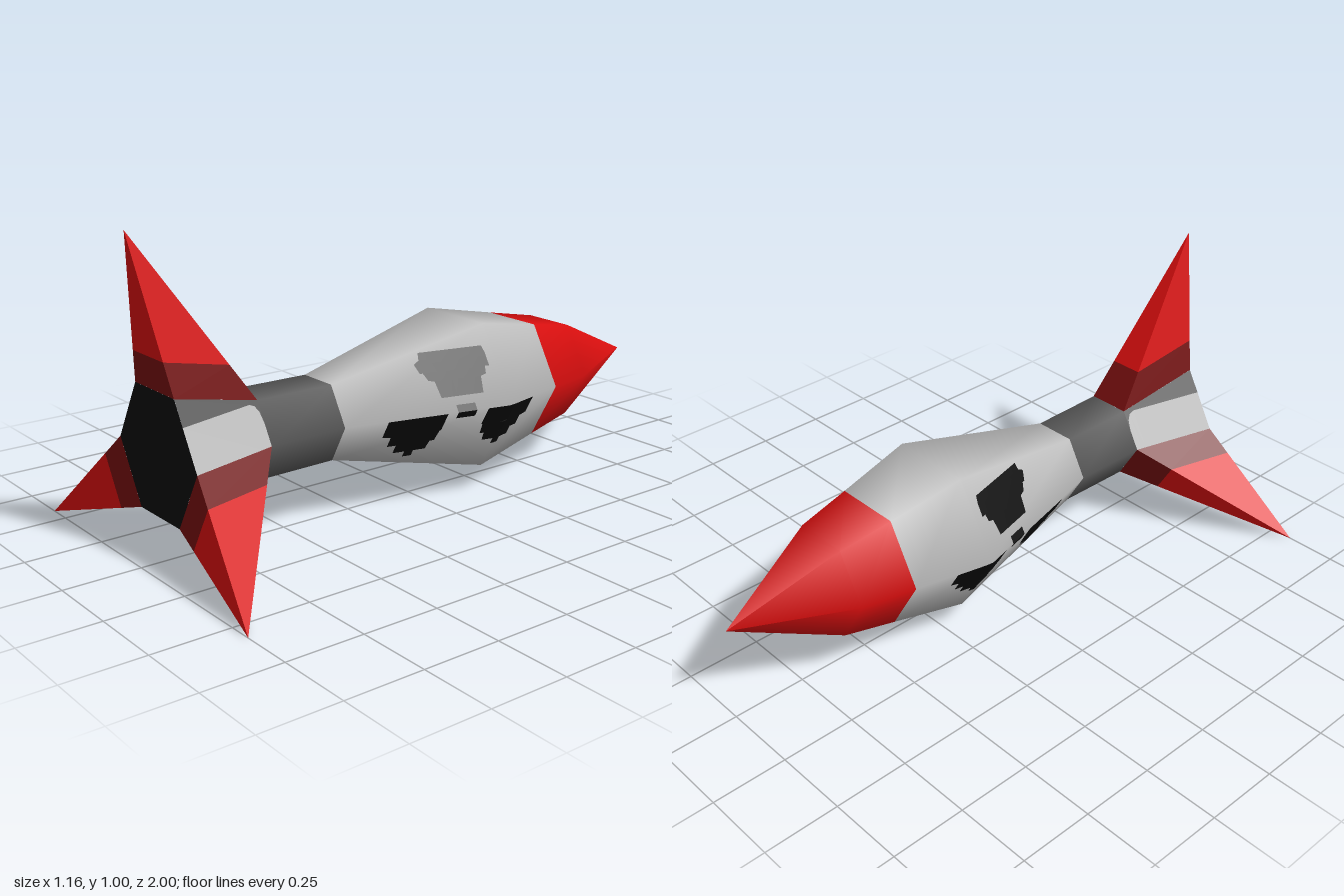
import * as THREE from 'three';

const AXIS_Y = 0.333;
const mat = (name, color) => {
  const m = new THREE.MeshStandardMaterial({ color });
  m.name = name;
  return m;
};

// Flat-shaded geometry from polygons with three or four corners
function facets(polys) {
  const pos = [];
  for (const p of polys) {
    for (let i = 1; i < p.length - 1; i++) pos.push(...p[0], ...p[i], ...p[i + 1]);
  }
  const g = new THREE.BufferGeometry();
  g.setAttribute('position', new THREE.Float32BufferAttribute(pos, 3));
  g.computeVertexNormals();
  return g;
}

export function createModel() {
  const white = mat('hull grey', 0xbababa);
  const grey = mat('collar grey', 0x585858);
  const red = mat('red', 0xd60e0e);
  const darkRed = mat('dark red', 0x740e0e);
  const black = mat('black', 0x0b0b0b);

  const model = new THREE.Group();
  model.name = 'rocket';
  const rocket = new THREE.Group();
  rocket.name = 'rocketBody';
  rocket.position.y = AXIS_Y;
  model.add(rocket);
  const add = (name, geometry, material, turn = 0) => {
    const mesh = new THREE.Mesh(geometry, material);
    mesh.name = name;
    mesh.rotation.z = turn;
    rocket.add(mesh);
  };

  // Six-sided fuselage, one smooth skin coloured by bands: [radius, z, colour index]
  const profile = [
    [0.145, 0.63, 2], [0.142, 0.36, 1], [0.282, -0.2, 1],
    [0.224, -0.46, 0], [0.185, -0.64, 0], [0, -1, 0],
  ];
  const hull = new THREE.LatheGeometry(
    profile.map(([r, z]) => new THREE.Vector2(r, -z)), 6, Math.PI / 6);
  hull.rotateX(-Math.PI / 2);
  const bands = profile.length - 1;
  const oldIndex = Array.from(hull.index.array);
  const index = [];
  for (let j = 0; j < bands; j++) {
    hull.addGroup(index.length, 36, profile[j][2]);
    for (let i = 0; i < 6; i++) {
      const start = (i * bands + j) * 6;
      index.push(...oldIndex.slice(start, start + 6));
    }
  }
  hull.setIndex(index);
  add('fuselage', hull, [red, white, grey]);

  // Flared tail: u runs across one face, v from the collar to the rear
  const tailPoint = (u, v, s) => [
    s * (1 - 2 * u) * THREE.MathUtils.lerp(0.0725, 0.1125, v),
    THREE.MathUtils.lerp(0.1256, 0.195, v),
    THREE.MathUtils.lerp(0.63, 0.93, v),
  ];
  const tailQuad = (ua, ub, uc, ud, v0, v1, s) => {
    const q = [tailPoint(ub, v1, s), tailPoint(ua, v1, s), tailPoint(uc, v0, s), tailPoint(ud, v0, s)];
    return s > 0 ? q : q.reverse();
  };
  const edge = [[0, 0.5], [0.02, 0.75], [0.06, 0.87], [0.12, 0.9], [1, 0.62]];
  for (const s of [1, -1]) {
    const light = [];
    const dark = [];
    for (let i = 0; i < edge.length - 1; i++) {
      const [v0, e0] = edge[i];
      const [v1, e1] = edge[i + 1];
      light.push(tailQuad(0, e1, 0, e0, v0, v1, s));
      dark.push(tailQuad(e1, 1, e0, 1, v0, v1, s));
    }
    const side = s > 0 ? 'left' : 'right';
    add(side + 'TailPanel', facets(light), white, -s * Math.PI / 3);
    add(side + 'TailBorder', facets(dark), grey, -s * Math.PI / 3);
  }
  add('bottomTailPanel', facets([tailQuad(0, 1, 0, 1, 0, 1, 1)]), white, Math.PI);

  // Black rear plate
  const rear = new THREE.CircleGeometry(0.225, 6);
  rear.translate(0, 0, 0.93);
  add('engineOpening', rear, black);

  // Three pyramid fins with dark roots
  const apex = [0, 0.667, 1];
  const root = [tailPoint(1, 1, 1), tailPoint(0, 1, 1), tailPoint(0, 0, 1), tailPoint(1, 0, 1)];
  const cut = root.map((p) => p.map((c, k) => THREE.MathUtils.lerp(c, apex[k], 0.22)));
  const rootFaces = [];
  const tipFaces = [];
  for (let i = 0; i < 4; i++) {
    const n = (i + 1) % 4;
    rootFaces.push([root[i], root[n], cut[n], cut[i]]);
    tipFaces.push([cut[i], cut[n], apex]);
  }
  const rootGeometry = facets(rootFaces);
  const tipGeometry = facets(tipFaces);
  ['top', 'right', 'left'].forEach((name, i) => {
    add(name + 'FinRoot', rootGeometry, darkRed, i * Math.PI * 2 / 3);
    add(name + 'FinTip', tipGeometry, red, i * Math.PI * 2 / 3);
  });

  // Three-bladed emblem on each flank; rows are [height, z from, z to]
  const hullX = (y, z) => {
    const r = z < -0.2 ? 0.282 + 0.223 * (z + 0.2) : 0.282 - 0.25 * (z + 0.2);
    return r - Math.abs(y) / Math.sqrt(3) + 0.004;
  };
  const lower = [
    [-0.15, 0.12, 0.09], [-0.13, 0.12, 0.09], [-0.13, 0.16, 0.05], [-0.1, 0.16, 0.045],
    [-0.1, 0.19, 0.03], [-0.065, 0.19, 0.025], [-0.06, 0.22, 0.02], [0, 0.22, 0.02],
  ];
  const patches = {
    upperBlade: [
      [0.047, 0.025, -0.12], [0.095, 0.03, -0.13], [0.1, 0.05, -0.15], [0.122, 0.06, -0.155],
      [0.122, 0.07, -0.17], [0.15, 0.08, -0.17], [0.16, 0.06, -0.17], [0.182, 0.055, -0.165],
    ],
    hub: [[-0.022, -0.015, -0.08], [0, -0.015, -0.08], [0.022, -0.015, -0.08]],
    frontBlade: lower,
    backBlade: lower.map(([y, a, b]) => [y, -0.1 - b, -0.1 - a]),
  };
  for (const [name, rows] of Object.entries(patches)) {
    for (const s of [1, -1]) {
      const point = ([y, a, b], t) => {
        const z = THREE.MathUtils.lerp(a, b, t);
        return [s * hullX(y, z), y, z];
      };
      const quads = [];
      for (let i = 0; i < rows.length - 1; i++) {
        for (let k = 0; k < 8; k++) {
          const q = [point(rows[i], k / 8), point(rows[i], (k + 1) / 8),
            point(rows[i + 1], (k + 1) / 8), point(rows[i + 1], k / 8)];
          quads.push(s > 0 ? q : q.reverse());
        }
      }
      add((s > 0 ? 'left ' : 'right ') + name, facets(quads), black);
    }
  }
  return model;
}
